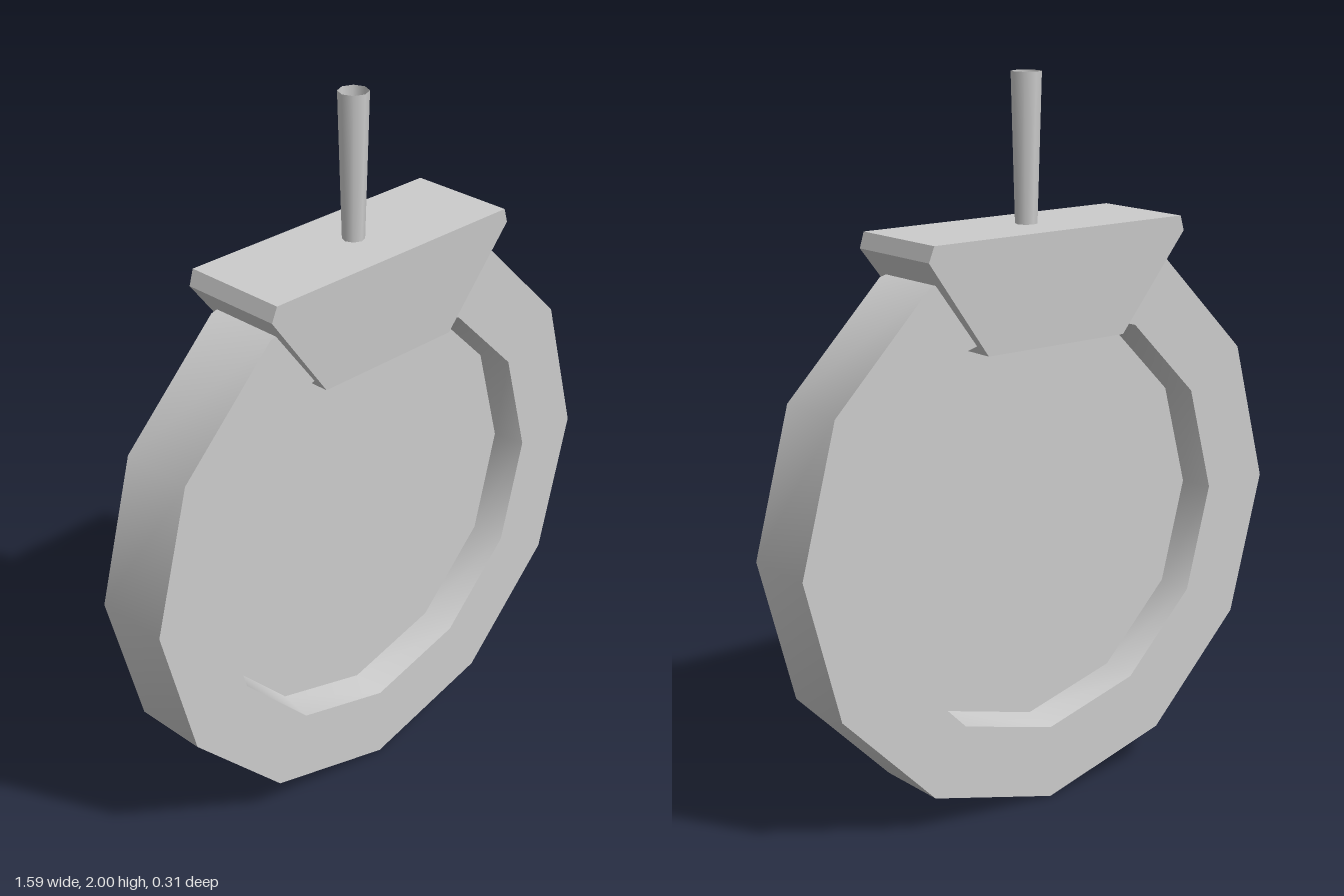
import * as THREE from 'three';
import { toCreasedNormals } from 'three/addons/utils/BufferGeometryUtils.js';

const SIDES = 12, RADIUS = 0.797, CENTRE_Y = 0.797;

export function createModel() {
  const group = new THREE.Group();
  const material = new THREE.MeshStandardMaterial({ color: 0xcccccc });
  const openMaterial = new THREE.MeshStandardMaterial({ color: 0xcccccc, side: THREE.DoubleSide });

  const add = (name, geometry, mat = material) => {
    const mesh = new THREE.Mesh(geometry, mat);
    mesh.name = name;
    group.add(mesh);
    return mesh;
  };

  // Twelve-sided turned part with its axis along z and a corner at the bottom
  const turned = (points) => {
    const lathe = new THREE.LatheGeometry(points.map(([r, d]) => new THREE.Vector2(r, d)), SIDES);
    return toCreasedNormals(lathe, 0.65).rotateX(Math.PI / 2).translate(0, CENTRE_Y, 0);
  };

  // Thick rim whose opening narrows slightly towards the middle
  add('rim', turned([
    [0.575, -0.015], [0.59, -0.108], [RADIUS, -0.108],
    [RADIUS, 0.108], [0.59, 0.108], [0.575, 0.015],
  ]));

  // Recessed plate filling the opening
  add('centrePlate', turned([[0, -0.015], [0.575, -0.015], [0.575, 0.015], [0, 0.015]]));

  // Wedge-shaped clamp over the top of the rim, thinner towards its lower edge
  const outline = new THREE.Shape([
    [-0.23, 1.295], [0.23, 1.295], [0.43, 1.56],
    [0.415, 1.602], [-0.415, 1.602], [-0.43, 1.56],
  ].map(([x, y]) => new THREE.Vector2(x, y)));
  const clamp = new THREE.ExtrudeGeometry(outline, { depth: 2, bevelEnabled: false }).translate(0, 0, -1);
  const pos = clamp.attributes.position;
  for (let i = 0; i < pos.count; i++) {
    const t = (pos.getY(i) - 1.295) / (1.602 - 1.295);
    pos.setZ(i, pos.getZ(i) * THREE.MathUtils.lerp(0.132, 0.153, t));
  }
  clamp.computeVertexNormals();
  add('clamp', clamp);

  // Hollow stem, open at the top and flaring upwards
  const stem = new THREE.CylinderGeometry(0.041, 0.03, 0.4, 8, 1, true);
  add('stem', stem, openMaterial).position.y = 1.8;

  return group;
}
